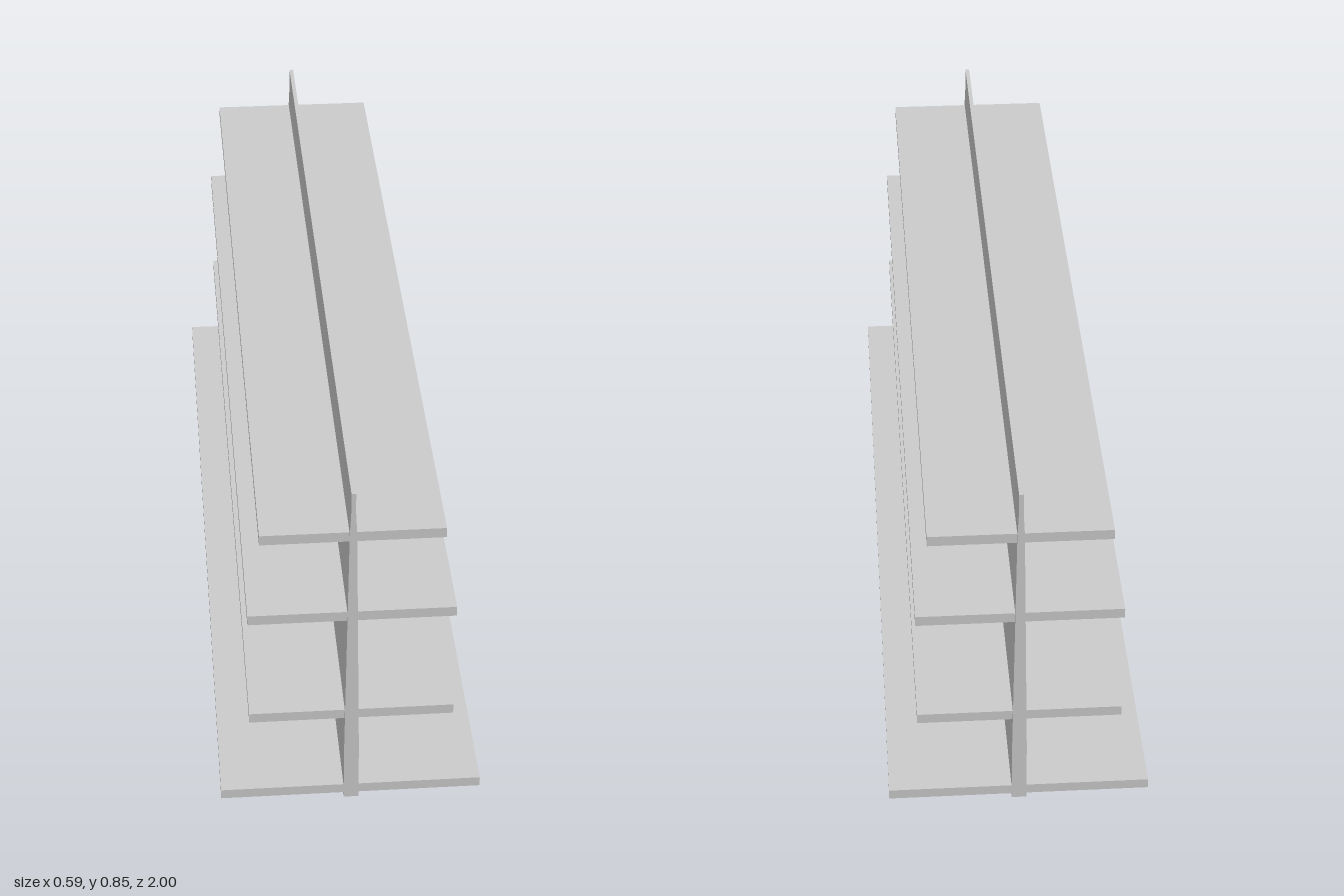
import * as THREE from 'three';

export function createModel() {
  const group = new THREE.Group();
  const material = new THREE.MeshStandardMaterial({ color: 0xcccccc, flatShading: true });

  // Upright panel: tapered profile swept along the full length
  const side = [[0.017, 0], [0.0165, 0.15], [0.008, 0.74], [0.005, 0.80], [0.005, 0.847]];
  const profile = new THREE.Shape([
    ...side.map(([x, y]) => new THREE.Vector2(x, y)),
    ...side.map(([x, y]) => new THREE.Vector2(-x, y)).reverse(),
  ]);
  const panelGeometry = new THREE.ExtrudeGeometry(profile, { depth: 2, bevelEnabled: false });
  panelGeometry.translate(0, 0, -1);
  const panel = new THREE.Mesh(panelGeometry, material);
  panel.name = 'uprightPanel';
  group.add(panel);

  // Shelves crossing the panel: name, half width, centre height
  const shelves = [
    ['baseShelf', 0.295, 0.019],
    ['lowerShelf', 0.228, 0.24],
    ['middleShelf', 0.228, 0.516],
    ['topShelf', 0.2, 0.73],
  ];
  for (const [name, halfWidth, y] of shelves) {
    const shelf = new THREE.Mesh(new THREE.BoxGeometry(halfWidth * 2, 0.024, 1.987), material);
    shelf.name = name;
    shelf.position.set(0, y, -0.001);
    group.add(shelf);
  }

  return group;
}
